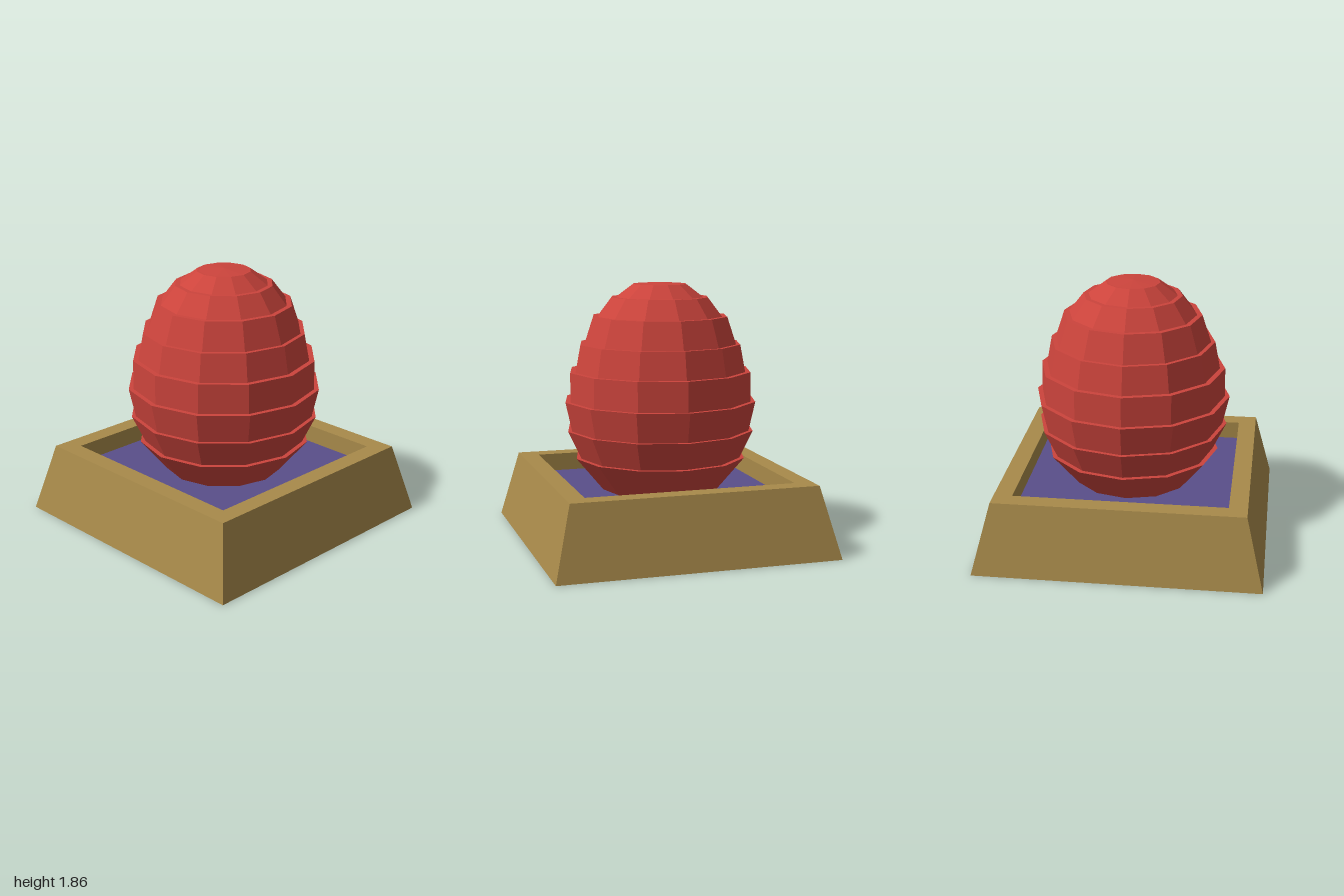
import * as THREE from 'three';

const material = (name, color) => {
  const m = new THREE.MeshStandardMaterial({ color, flatShading: true });
  m.name = name;
  return m;
};

// Faceted solid turned from [radius, height] pairs, listed from the bottom up
function turned(name, profile, sides, mat) {
  const points = profile.map(([r, y]) => new THREE.Vector2(r, y));
  const mesh = new THREE.Mesh(new THREE.LatheGeometry(points, sides), mat);
  mesh.name = name;
  return mesh;
}

export function createModel() {
  const model = new THREE.Group();
  model.name = 'eggOnStand';

  const wood = material('ochre', 0xa88a4a);
  const cloth = material('purple', 0x5a4f8a);
  const shell = material('red', 0xcc443c);

  // Square tapered stand with a straight-walled recess (half widths)
  const floorY = 0.37;
  const standProfile = [[0, 0], [1, 0], [0.875, 0.5], [0.745, 0.5], [0.745, floorY]];
  const stand = turned('stand', standProfile.map(([w, y]) => [w * Math.SQRT2, y]), 4, wood);
  stand.rotation.y = Math.PI / 4;
  model.add(stand);

  // Lining on the floor of the recess
  const lining = new THREE.Mesh(new THREE.PlaneGeometry(1.49, 1.49), cloth);
  lining.name = 'recessLining';
  lining.rotation.x = -Math.PI / 2;
  lining.position.y = floorY;
  model.add(lining);

  // Stacked scale bands: [bottom radius, bottom y, top radius, top y]
  const bands = [
    [0.425, floorY, 0.62, 0.605],
    [0.585, 0.605, 0.68, 0.805],
    [0.65, 0.805, 0.697, 1.015],
    [0.662, 1.015, 0.66, 1.225],
    [0.622, 1.225, 0.585, 1.42],
    [0.555, 1.42, 0.49, 1.615],
    [0.453, 1.615, 0.35, 1.75],
    [0.315, 1.75, 0.192, 1.842],
    [0.178, 1.842, 0, 1.855],
  ];
  // Each band's rim steps in flat to the foot of the next one
  const eggProfile = bands.flatMap(([r0, y0, r1, y1]) => [[r0, y0], [r1, y1]]);
  model.add(turned('egg', eggProfile, 12, shell));

  return model;
}
